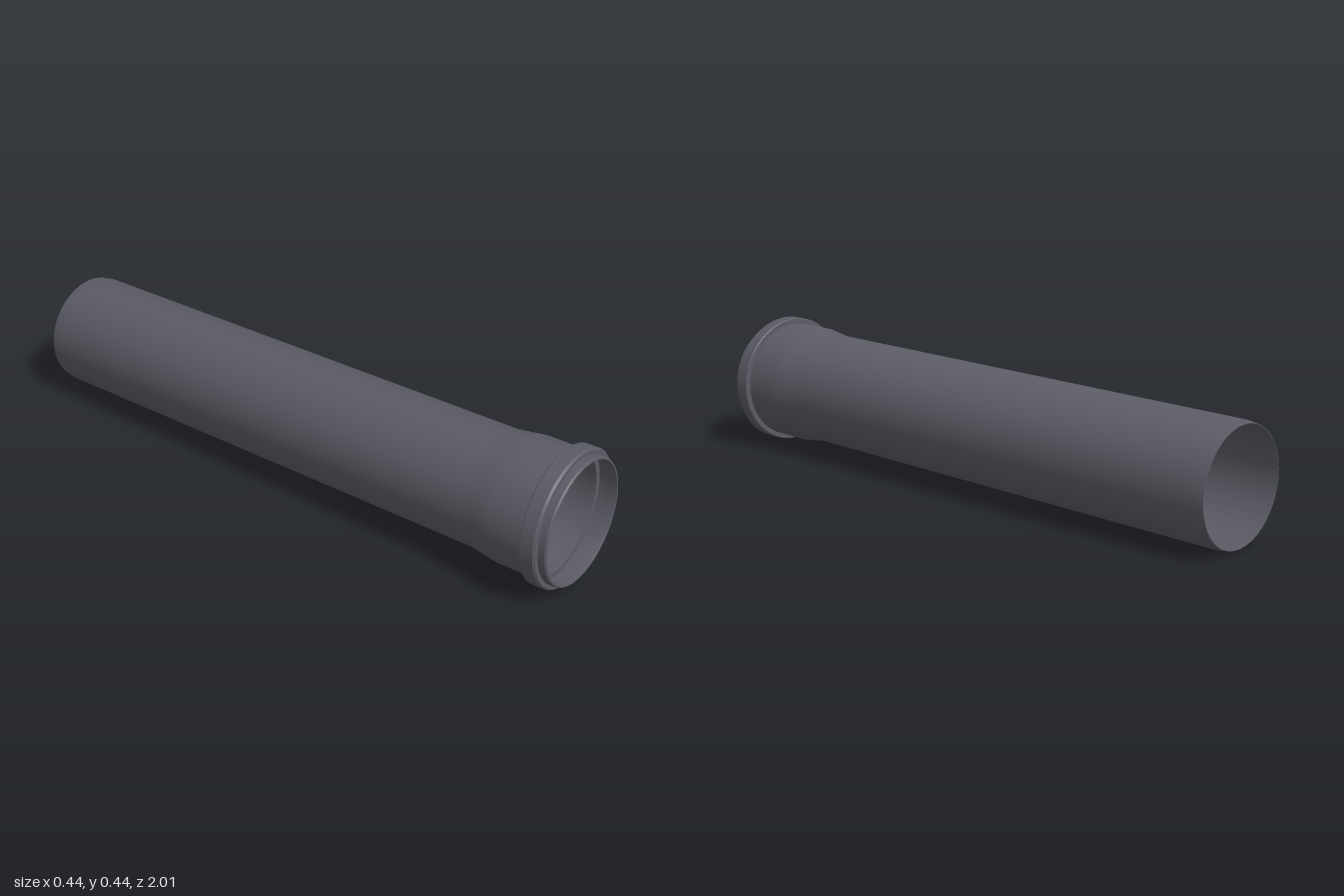
import * as THREE from 'three';
import { toCreasedNormals } from 'three/addons/utils/BufferGeometryUtils.js';

const material = new THREE.MeshStandardMaterial({ color: 0x5c5c66 });

// Wall cross-section as [radius, position along the pipe]
const outer = [
  [0.182, -1], [0.187, -0.97],                                    // chamfered plain end
  [0.187, 0.71], [0.19, 0.73], [0.197, 0.78], [0.2, 0.8],         // flare into the socket
  [0.2, 0.922], [0.215, 0.922], [0.218, 0.925],                   // seal collar
  [0.218, 0.967], [0.213, 0.974], [0.2, 0.974],
  [0.2, 0.995], [0.197, 1],                                       // mouth lip
];
const inner = [
  [0.192, 1], [0.191, 0.995], [0.191, 0.968],
  [0.211, 0.968], [0.211, 0.93], [0.193, 0.93],                   // seal groove
  [0.193, 0.8], [0.19, 0.78], [0.183, 0.73], [0.18, 0.71],
  [0.18, -1], [0.182, -1],
];

export function createModel() {
  const group = new THREE.Group();
  group.name = 'socketPipe';

  const profile = [...outer, ...inner].map(([r, z]) => new THREE.Vector2(r, z));
  const geometry = toCreasedNormals(new THREE.LatheGeometry(profile, 96), 0.5);
  geometry.rotateX(Math.PI / 2);

  // The pipe rests on its collar and plain end, so it tilts slightly
  const pipe = new THREE.Mesh(geometry, material);
  pipe.name = 'pipe';
  pipe.rotation.x = -0.0152;
  pipe.position.y = 0.204;
  group.add(pipe);
  return group;
}
